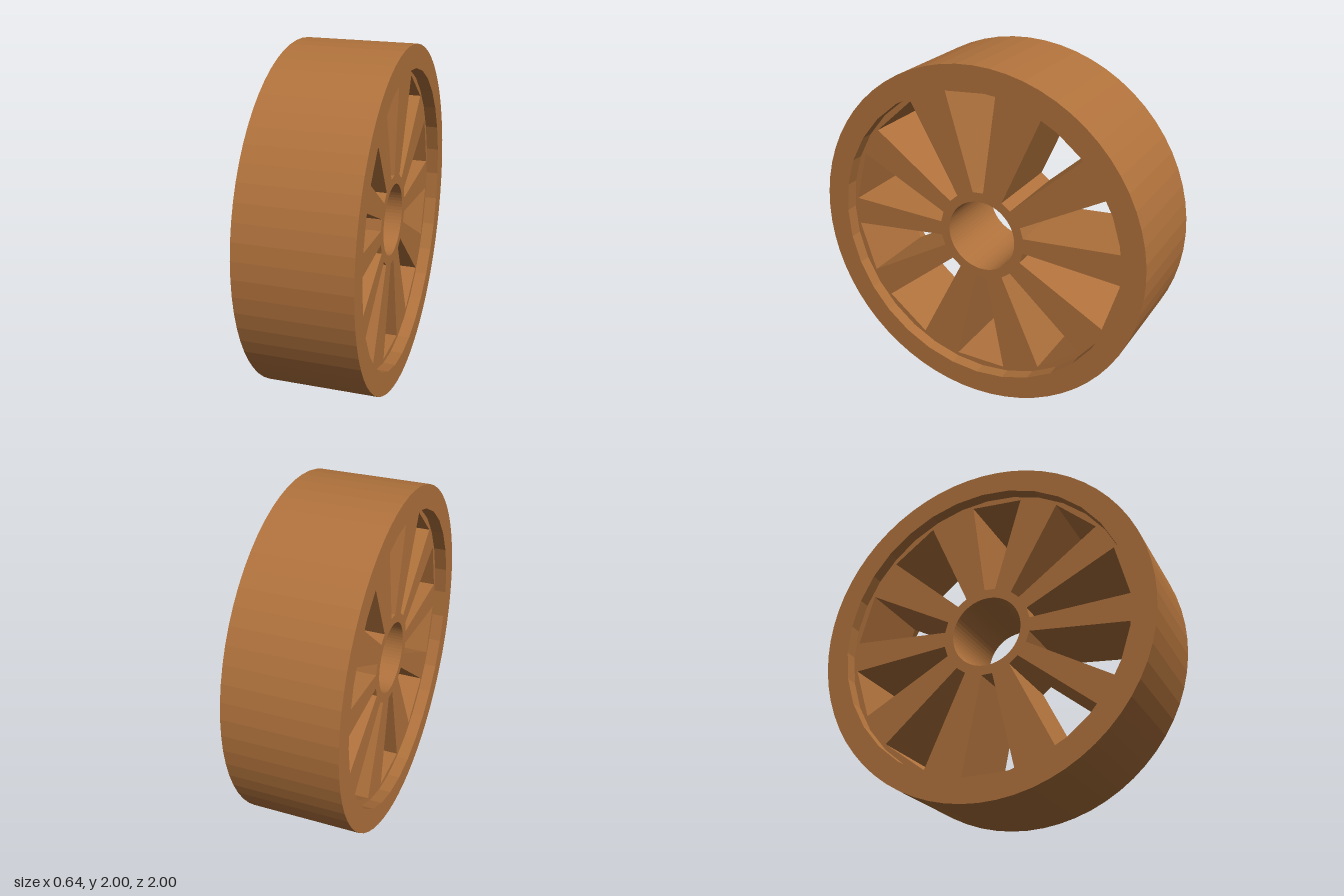
import * as THREE from 'three';

const DEG = Math.PI / 180;

// regular polygon outline approximating a circle
function ring(radius, sides) {
  const pts = [];
  for (let i = 0; i < sides; i++) {
    const a = (i / sides) * Math.PI * 2;
    pts.push(new THREE.Vector2(Math.cos(a) * radius, Math.sin(a) * radius));
  }
  return pts;
}

// tapered window between two spokes, centred on the given angle
function spokeWindow(angle) {
  const corner = (r, off) => new THREE.Vector2(Math.cos((angle + off) * DEG) * r, Math.sin((angle + off) * DEG) * r);
  return new THREE.Path([corner(0.264, -7.1), corner(0.843, -10.55), corner(0.843, 10.55), corner(0.264, 7.1)]);
}

// flat outline with holes, extruded along the axle (x) and raised to the wheel centre
function plate(name, outline, holes, halfWidth, material) {
  const shape = new THREE.Shape(outline);
  shape.holes.push(...holes);
  const geo = new THREE.ExtrudeGeometry(shape, { depth: halfWidth * 2, bevelEnabled: false });
  geo.translate(0, 0, -halfWidth);
  geo.rotateY(Math.PI / 2);
  geo.translate(0, 1, 0);
  const mesh = new THREE.Mesh(geo, material);
  mesh.name = name;
  return mesh;
}

export function createModel() {
  const group = new THREE.Group();
  group.name = 'wheel';
  const copper = new THREE.MeshStandardMaterial({ color: 0xb0723c });
  copper.name = 'copper brown';

  // wide outer rim
  group.add(plate('rim', ring(1, 64), [new THREE.Path(ring(0.866, 32))], 0.32, copper));

  // recessed spoked disc, its windows slightly unevenly spaced, with an axle bore
  const angles = [94.2, 53.8, 16.4, -17.1, -53.8, -91, -129, -162.2, 165.6, 131.8];
  const holes = [new THREE.Path(ring(0.208, 64)), ...angles.map(spokeWindow)];
  group.add(plate('spokedDisc', ring(0.868, 32), holes, 0.247, copper));

  return group;
}
